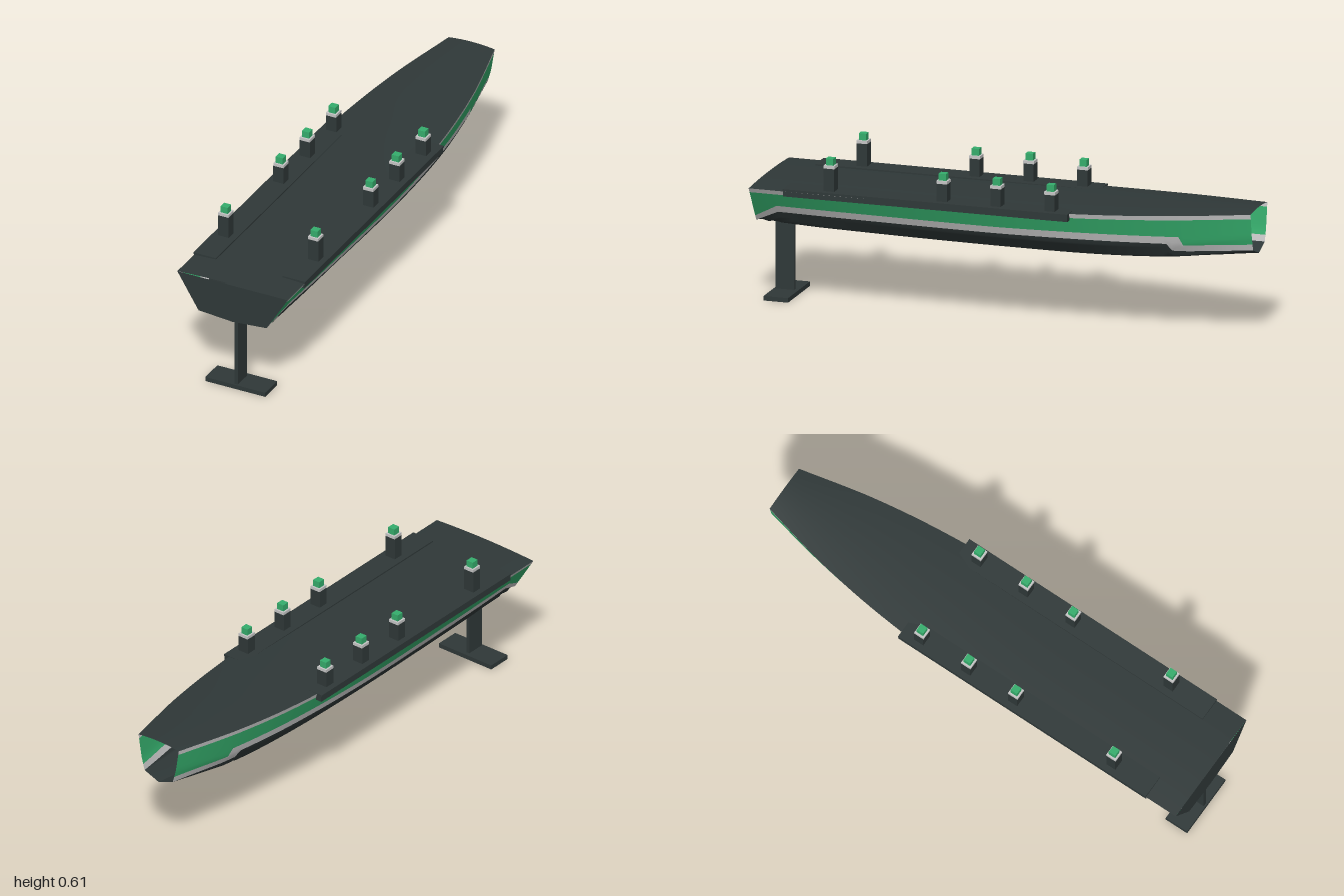
import * as THREE from 'three';

const mat = (name, color) => {
  const m = new THREE.MeshStandardMaterial({ color, side: THREE.DoubleSide });
  m.name = name;
  return m;
};

// Hull stations from stern (+z) to bow (-z):
// z, keel y, lower chine x y, upper chine x y, sheer x y
const STATIONS = [
  [1.0, 0.313, 0.148, 0.325, 0.185, 0.385, 0.240, 0.475],
  [0.5, 0.297, 0.146, 0.312, 0.188, 0.366, 0.240, 0.475],
  [0.0, 0.288, 0.143, 0.306, 0.190, 0.360, 0.236, 0.477],
  [-0.4, 0.286, 0.130, 0.306, 0.172, 0.360, 0.210, 0.485],
  [-0.7, 0.297, 0.110, 0.320, 0.138, 0.375, 0.168, 0.496],
  [-1.0, 0.333, 0.070, 0.360, 0.085, 0.415, 0.100, 0.510],
];
// Painted stripe edges: z, y
const STRIPE_TOP = [[1, 0.347], [0.9, 0.403], [0, 0.4], [-0.72, 0.407], [-0.735, 0.372], [-1, 0.385]];
const STRIPE_LOW = [[1, 0.326], [0.9, 0.375], [0, 0.372], [-0.67, 0.376], [-0.69, 0.346], [-0.75, 0.346], [-1, 0.36]];
const TRIM = 0.018;

// Smooth interpolation of one station column
function station(z, c) {
  const S = STATIONS, n = S.length;
  let i = 0;
  while (i < n - 2 && z < S[i + 1][0]) i++;
  const slope = (k) => {
    const a = S[Math.max(k - 1, 0)], b = S[Math.min(k + 1, n - 1)];
    return (b[c] - a[c]) / (b[0] - a[0]);
  };
  const h = S[i + 1][0] - S[i][0], t = (z - S[i][0]) / h, t2 = t * t, t3 = t2 * t;
  return (2 * t3 - 3 * t2 + 1) * S[i][c] + (t3 - 2 * t2 + t) * h * slope(i)
    + (3 * t2 - 2 * t3) * S[i + 1][c] + (t3 - t2) * h * slope(i + 1);
}

// Straight interpolation along a stripe edge
function edge(keys, z) {
  let i = 0;
  while (i < keys.length - 2 && z < keys[i + 1][0]) i++;
  const [a, b] = [keys[i], keys[i + 1]];
  return a[1] + (b[1] - a[1]) * (z - a[0]) / (b[0] - a[0]);
}

const section = (z) => {
  const v = (c) => station(z, c);
  return [[0, v(1)], [v(2), v(3)], [v(4), v(5)], [v(6), v(7)]];
};

// Section parameter (0 keel .. 3 sheer) at a height, and the point at a parameter
function paramAt(p, y) {
  let i = 0;
  while (i < 2 && y > p[i + 1][1]) i++;
  return i + THREE.MathUtils.clamp((y - p[i][1]) / (p[i + 1][1] - p[i][1]), 0, 1);
}
function pointAt(p, t) {
  const i = Math.min(Math.floor(t), 2), f = t - i;
  return [0, 1].map((k) => p[i][k] + (p[i + 1][k] - p[i][k]) * f);
}

const ZS = Array.from({ length: 41 }, (_, i) => +(1 - i * 0.05).toFixed(2))
  .concat([-0.67, -0.69, -0.72, -0.735]).sort((a, b) => b - a);

// Grid surface: one row of points [x, y] per station
function loft(name, material, cols, rowFn, flip) {
  const pos = [], idx = [];
  ZS.forEach((z, r) => {
    for (let c = 0; c <= cols; c++) {
      const [x, y] = rowFn(z, c / cols);
      pos.push(x, y, z);
      if (r && c) {
        const d = r * (cols + 1) + c, b = d - cols - 1;
        if (flip) idx.push(b - 1, b, d, b - 1, d, d - 1);
        else idx.push(b - 1, d, b, b - 1, d - 1, d);
      }
    }
  });
  const g = new THREE.BufferGeometry();
  g.setAttribute('position', new THREE.Float32BufferAttribute(pos, 3));
  g.setIndex(idx);
  g.computeVertexNormals();
  const m = new THREE.Mesh(g, material);
  m.name = name;
  return m;
}

export function createModel() {
  const model = new THREE.Group();
  model.name = 'boat';
  const dark = mat('charcoal', 0x2f3838);
  const green = mat('green', 0x35ad6c);
  const grey = mat('lightGrey', 0xc6c6c6);

  const box = (name, material, w, h, d, x, y, z, parent = model) => {
    const m = new THREE.Mesh(new THREE.BoxGeometry(w, h, d), material);
    m.name = name;
    m.position.set(x, y + h / 2, z); // y is the underside
    parent.add(m);
  };

  // Hull sides in painted bands, open at the bow
  const keel = (z) => station(z, 1), sheer = (z) => station(z, 7);
  const stripeLow = (z) => edge(STRIPE_LOW, z), stripeTop = (z) => edge(STRIPE_TOP, z);
  const trimLow = (z) => sheer(z) - TRIM;
  const bands = [
    ['hullBottom', dark, keel, stripeLow, 14],
    ['hullStripe', grey, stripeLow, stripeTop, 4],
    ['hullSide', green, stripeTop, trimLow, 6],
    ['sheerTrim', grey, trimLow, sheer, 1],
  ];
  for (const s of [1, -1]) {
    for (const [name, material, lo, hi, cols] of bands) {
      model.add(loft(name, material, cols, (z, u) => {
        const p = section(z), a = paramAt(p, lo(z)), b = paramAt(p, hi(z));
        const [x, y] = pointAt(p, a + (b - a) * u);
        return [s * x, y];
      }, s < 0));
    }
  }

  // Cambered deck
  model.add(loft('deck', dark, 12, (z, u) => {
    const k = 2 * u - 1;
    return [k * station(z, 6), sheer(z) + 0.007 * (1 - k * k)];
  }, true));

  // Flat transom at the stern
  const p = section(1);
  const outline = [...p, ...p.slice(1).reverse().map(([x, y]) => [-x, y])];
  const transom = new THREE.Mesh(
    new THREE.ShapeGeometry(new THREE.Shape(outline.map(([x, y]) => new THREE.Vector2(x, y)))), dark);
  transom.name = 'transom';
  transom.position.z = 1;
  model.add(transom);

  // Side decks, outer rails and lamp posts
  const posts = [[0.68, 0.575], [0.22, 0.555], [0, 0.555], [-0.22, 0.55]];
  for (const s of [1, -1]) {
    box('sideDeck', dark, 0.098, 0.008, 1.16, s * 0.194, 0.477, 0.28);
    box('outerRail', dark, 0.025, 0.025, 1.16, s * 0.2275, 0.455, 0.28);
    for (const [z, top] of posts) {
      const post = new THREE.Group();
      post.name = 'lampPost';
      model.add(post);
      box('postColumn', dark, 0.046, top - 0.478, 0.042, s * 0.195, 0.478, z, post);
      box('postCollar', grey, 0.044, 0.012, 0.044, s * 0.195, top, z, post);
      box('postLamp', green, 0.03, 0.027, 0.03, s * 0.195, top + 0.012, z, post);
    }
  }

  // Keel strut and foot plate
  box('strut', dark, 0.015, 0.305, 0.077, 0, 0.015, 0.932);
  box('footPlate', dark, 0.26, 0.018, 0.1, 0, 0, 0.927);

  return model;
}
